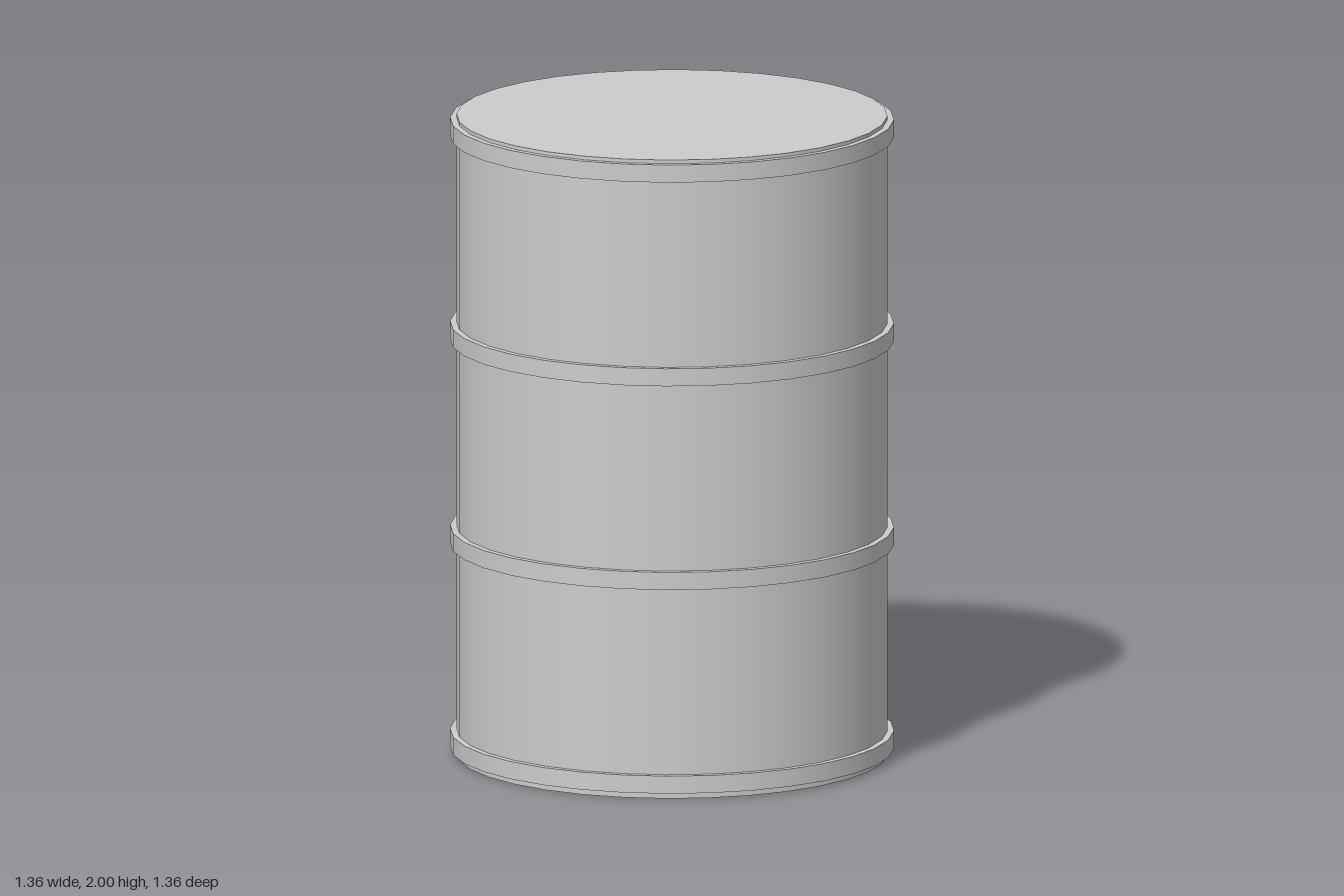
import * as THREE from 'three';

const SIDES = 32;

export function createModel() {
  const model = new THREE.Group();
  model.name = 'barrel';
  const steel = new THREE.MeshStandardMaterial({ color: 0xcccccc });
  steel.name = 'greySteel';

  // Upright capped cylinder centred at height y
  const addCylinder = (name, radius, height, y) => {
    const mesh = new THREE.Mesh(new THREE.CylinderGeometry(radius, radius, height, SIDES), steel);
    mesh.name = name;
    mesh.position.y = y;
    model.add(mesh);
  };

  // Drum wall with flat lid and base
  addCylinder('drumBody', 0.66, 2, 1);

  // Evenly spaced hoops, from base to lid
  const hoops = ['bottomHoop', 'lowerHoop', 'upperHoop', 'topHoop'];
  hoops.forEach((name, i) => addCylinder(name, 0.68, 0.055, 0.047 + i * 0.638));

  return model;
}
